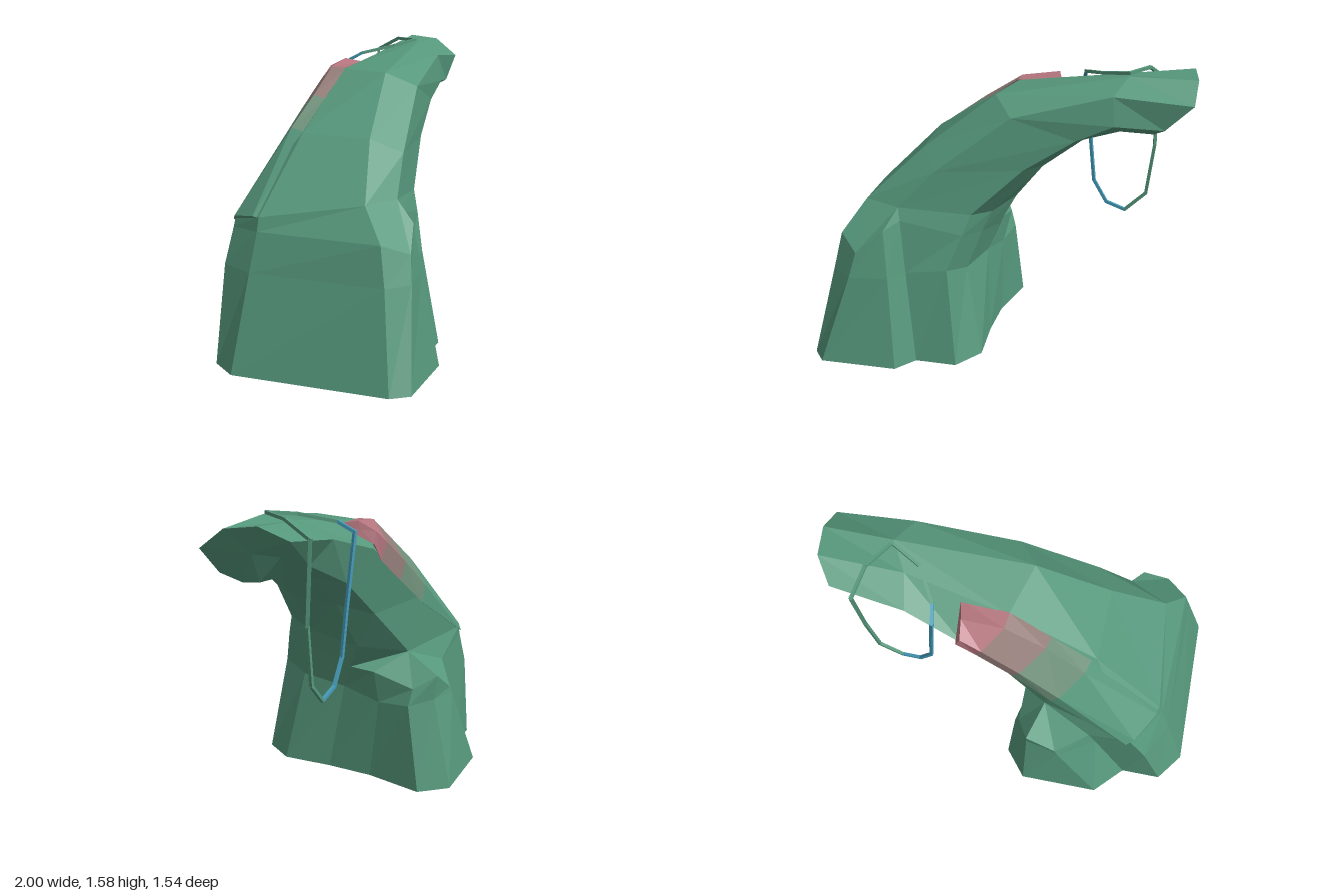
import * as THREE from 'three';

const flat = (name, color) => {
  const m = new THREE.MeshStandardMaterial({ color, flatShading: true, side: THREE.DoubleSide });
  m.name = name;
  return m;
};

// Faceted skin through a list of rings; every ring holds the same number of [x, y, z] points.
// A point repeated within a ring makes its strip taper to a corner.
function loft(rings, capStart, capEnd) {
  const n = rings[0].length;
  const pos = [];
  const tri = (a, b, c) => {
    if (a !== b && b !== c && a !== c) pos.push(...a, ...b, ...c);
  };
  for (let r = 0; r < rings.length - 1; r++) {
    const lo = rings[r], hi = rings[r + 1];
    for (let i = 0; i < n; i++) {
      const j = (i + 1) % n;
      tri(lo[i], lo[j], hi[j]);
      tri(lo[i], hi[j], hi[i]);
    }
  }
  const cap = (ring, flip) => {
    const mid = [0, 1, 2].map(k => ring.reduce((s, p) => s + p[k], 0) / n);
    for (let i = 0; i < n; i++) {
      const a = ring[i], b = ring[(i + 1) % n];
      if (flip) tri(b, a, mid); else tri(a, b, mid);
    }
  };
  if (capStart) cap(rings[0], true);
  if (capEnd) cap(rings[rings.length - 1], false);
  const g = new THREE.BufferGeometry();
  g.setAttribute('position', new THREE.Float32BufferAttribute(pos, 3));
  g.computeVertexNormals();
  return g;
}

export function createModel() {
  const group = new THREE.Group();
  const green = flat('mossGreen', 0x56987c);
  const paleGreen = flat('greyGreen', 0x71927c);
  const dustyPink = flat('dustyPink', 0x967f7b);
  const pink = flat('rosePink', 0xb4757e);
  const blue = flat('ropeBlue', 0x459bb8);

  const add = (name, geometry, material, parent = group) => {
    const mesh = new THREE.Mesh(geometry, material);
    mesh.name = name;
    parent.add(mesh);
    return mesh;
  };

  // Footprint, open below: front and back bulges become the buttresses
  const footprint = [
    [-1, -.02], [-.6, .72], [-.5, .77], [-.13, .58], [-.1, .44], [.1, .34], [.13, .15],
    [0, -.09], [-.1, -.32], [-.17, -.63], [-.34, -.7], [-.72, -.5], [-.78, -.3], [-.97, -.2],
  ].map(([x, z]) => [x, 0, z]);
  // Buttress sides, then their sloping shoulders
  const sides = [
    [-.86, .5, -.04], [-.53, .5, .61], [-.385, .5, .645], [-.21, .5, .53], [-.19, .5, .41],
    [.01, .53, .3], [.01, .49, .13], [-.06, .48, -.14], [-.12, .44, -.36],
    [-.17, .46, -.54], [-.3, .49, -.6], [-.48, .47, -.55], [-.6, .5, -.365], [-.86, .5, -.26],
  ];
  const shoulders = [
    [-.8, .7, -.05], [-.51, .7, .56], [-.36, .64, .61], [-.25, .76, .51], [-.23, .79, .4],
    [.05, .72, .22], [.05, .69, .05], [-.04, .62, -.22], [-.1, .61, -.34],
    [-.2, .55, -.54], [-.31, .62, -.61], [-.46, .51, -.55], [-.56, .6, -.38], [-.78, .68, -.29],
  ];
  // Leaning arm: eight corners per ring, tapering to a blunt tip
  const arm = [
    [[-.78, .77, -.06], [-.47, .86, .4], [-.25, .86, .39], [.07, .83, .17],
     [.08, .8, 0], [0, .77, -.32], [-.28, .71, -.41], [-.76, .73, -.3]],
    [[-.42, 1.15, -.16], [-.25, 1.14, .18], [-.1, 1.06, .27], [.28, 1.08, 0],
     [.3, 1.07, -.16], [.2, 1.05, -.4], [0, .98, -.46], [-.33, 1.01, -.43]],
    [[0, 1.445, -.33], [.06, 1.44, -.05], [.22, 1.36, .03], [.5, 1.25, -.15],
     [.5, 1.25, -.3], [.42, 1.24, -.48], [.25, 1.2, -.54], [.1, 1.35, -.56]],
    [[.5, 1.53, -.5], [.64, 1.56, -.41], [.65, 1.49, -.25], [.67, 1.34, -.24],
     [.62, 1.27, -.38], [.58, 1.28, -.5], [.5, 1.33, -.58], [.4, 1.45, -.63]],
    [[.86, 1.58, -.7], [.95, 1.56, -.57], [1, 1.46, -.45], [.87, 1.32, -.4],
     [.78, 1.27, -.45], [.74, 1.28, -.53], [.7, 1.41, -.64], [.74, 1.51, -.77]],
  ];
  // Which arm corner each foot column runs into
  const columns = [0, 1, 1, 2, 2, 3, 4, 5, 6, 6, 6, 6, 6, 7];
  const skin = [footprint, sides, shoulders, ...arm.map(ring => columns.map(c => ring[c]))];
  add('archBody', loft(skin, false, true), green);

  // Raised back ridge, fading from green to pink along its length
  const ridge = [
    [[-.76, .71, -.32], [-.78, .74, -.28], [-.79, .77, -.1], [-.77, .76, -.05]],
    [[-.34, .98, -.44], [-.38, 1.06, -.42], [-.42, 1.165, -.26], [-.4, 1.15, -.18]],
    [[-.14, 1.14, -.49], [-.18, 1.23, -.48], [-.22, 1.32, -.32], [-.2, 1.3, -.25]],
    [[.04, 1.28, -.55], [0, 1.37, -.54], [-.03, 1.455, -.4], [0, 1.45, -.32]],
    [[.12, 1.38, -.59], [.1, 1.44, -.575], [.15, 1.485, -.5], [.22, 1.465, -.42]],
  ];
  [green, paleGreen, dustyPink, pink].forEach((mat, i) => {
    add('ridgeSegment' + (i + 1), loft([ridge[i], ridge[i + 1]], i === 0, i === 3), mat);
  });

  // Hanging loop: straight square-section links around the arm
  const loop = new THREE.Group();
  loop.name = 'hangingLoop';
  group.add(loop);
  const path = [
    [.5, .7, -.68], [.4, .735, -.64], [.33, .86, -.61], [.3, 1.1, -.605], [.25, 1.46, -.6],
    [.3, 1.505, -.53], [.46, 1.545, -.43], [.63, 1.572, -.43], [.65, 1.572, -.6],
    [.62, 1.5, -.75], [.63, 1.1, -.74], [.6, .81, -.73],
  ].map(p => new THREE.Vector3(...p));
  path.forEach((a, i) => {
    const b = path[(i + 1) % path.length];
    const link = add('loopLink', new THREE.BoxGeometry(.016, .016, a.distanceTo(b) + .01),
      i < 5 ? blue : green, loop);
    link.position.lerpVectors(a, b, .5);
    link.lookAt(b);
  });

  return group;
}
